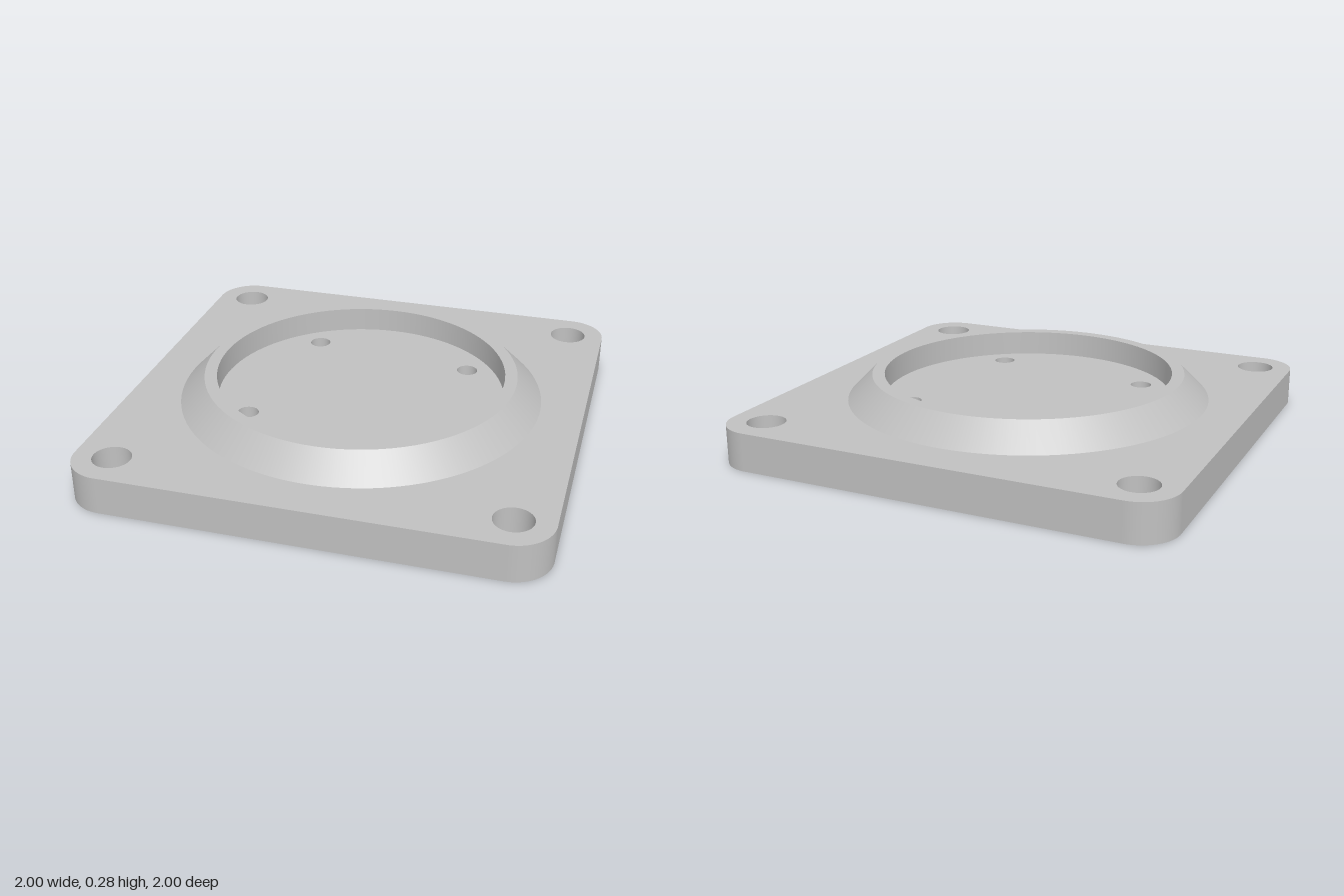
import * as THREE from 'three';
import { mergeGeometries } from 'three/addons/utils/BufferGeometryUtils.js';

const SEG = 96;
const TOP = 0.167, RIM_TOP = 0.278, CORNER = 0.167;
const RIM_BASE = 0.811, RIM_OUT = 0.7, RIM_IN = 0.645;
const HOLE = 0.083, BORE = 0.047, BORE_STEP = 0.056;

const mountHoles = [[1, 1], [1, -1], [-1, -1], [-1, 1]].map(([x, z]) => [x * 0.833, z * 0.833]);
const screwHoles = [[0.425, -0.325], [-0.325, -0.425], [-0.425, 0.325], [0.325, 0.425]];

const material = new THREE.MeshStandardMaterial({ color: 0xc0c0c0 });
material.name = 'grey metal';

function add(parent, name, geometry) {
  const mesh = new THREE.Mesh(geometry, material);
  mesh.name = name;
  parent.add(mesh);
  return mesh;
}

// Revolved profile, one lathe per segment so that the edges stay sharp
function turned(profile) {
  const pts = profile.map(([r, y]) => new THREE.Vector2(r, y));
  return mergeGeometries(pts.slice(1).map((p, i) => new THREE.LatheGeometry([pts[i], p], SEG)));
}

function roundedSquare() {
  const s = new THREE.Shape(), c = 1 - CORNER;
  s.absarc(c, c, CORNER, 0, Math.PI / 2);
  s.absarc(-c, c, CORNER, Math.PI / 2, Math.PI);
  s.absarc(-c, -c, CORNER, Math.PI, Math.PI * 1.5);
  s.absarc(c, -c, CORNER, Math.PI * 1.5, Math.PI * 2);
  return s;
}

function disc(r) {
  return new THREE.Shape().absarc(0, 0, r, 0, Math.PI * 2);
}

// Flat horizontal face with round holes given as [x, z, radius]
function flatFace(shape, holes, y, up) {
  const s = up ? -1 : 1;
  for (const [x, z, r] of holes) {
    shape.holes.push(new THREE.Path().absarc(x, s * z, r, 0, Math.PI * 2, true));
  }
  return new THREE.ShapeGeometry(shape, SEG / 2).rotateX(s * Math.PI / 2).translate(0, y, 0);
}

export function createModel() {
  const model = new THREE.Group();
  model.name = 'flangePlate';
  const mounts = mountHoles.map(([x, z]) => [x, z, HOLE]);

  // Plate faces
  add(model, 'plateTop', flatFace(roundedSquare(), [...mounts, [0, 0, RIM_BASE]], TOP, true));
  add(model, 'plateBottom', flatFace(roundedSquare(),
    [...mounts, ...screwHoles.map(([x, z]) => [x, z, HOLE])], 0, false));
  add(model, 'recessFloor', flatFace(disc(RIM_IN),
    screwHoles.map(([x, z]) => [x, z, BORE]), TOP, true));

  // Plate edge: a straight side and a rounded corner, four times
  const c = 1 - CORNER;
  const side = new THREE.PlaneGeometry(2 * c, TOP).translate(0, TOP / 2, 1);
  const corner = new THREE.CylinderGeometry(CORNER, CORNER, TOP, SEG / 2, 1, true, 0, Math.PI / 2)
    .translate(c, TOP / 2, c);
  const edge = mergeGeometries([side, corner]);
  for (let i = 0; i < 4; i++) add(model, 'plateEdge', edge).rotation.y = i * Math.PI / 2;

  // Raised rim with sloping outside and straight inside
  add(model, 'raisedRim', turned([[RIM_BASE, TOP], [RIM_OUT, RIM_TOP], [RIM_IN, RIM_TOP], [RIM_IN, TOP]]));

  // Straight corner holes, and screw holes counterbored from below
  const mountBore = turned([[HOLE, TOP], [HOLE, 0]]);
  const screwBore = turned([[BORE, TOP], [BORE, BORE_STEP], [HOLE, BORE_STEP], [HOLE, 0]]);
  for (const [x, z] of mountHoles) add(model, 'mountHole', mountBore).position.set(x, 0, z);
  for (const [x, z] of screwHoles) add(model, 'screwHole', screwBore).position.set(x, 0, z);

  return model;
}
